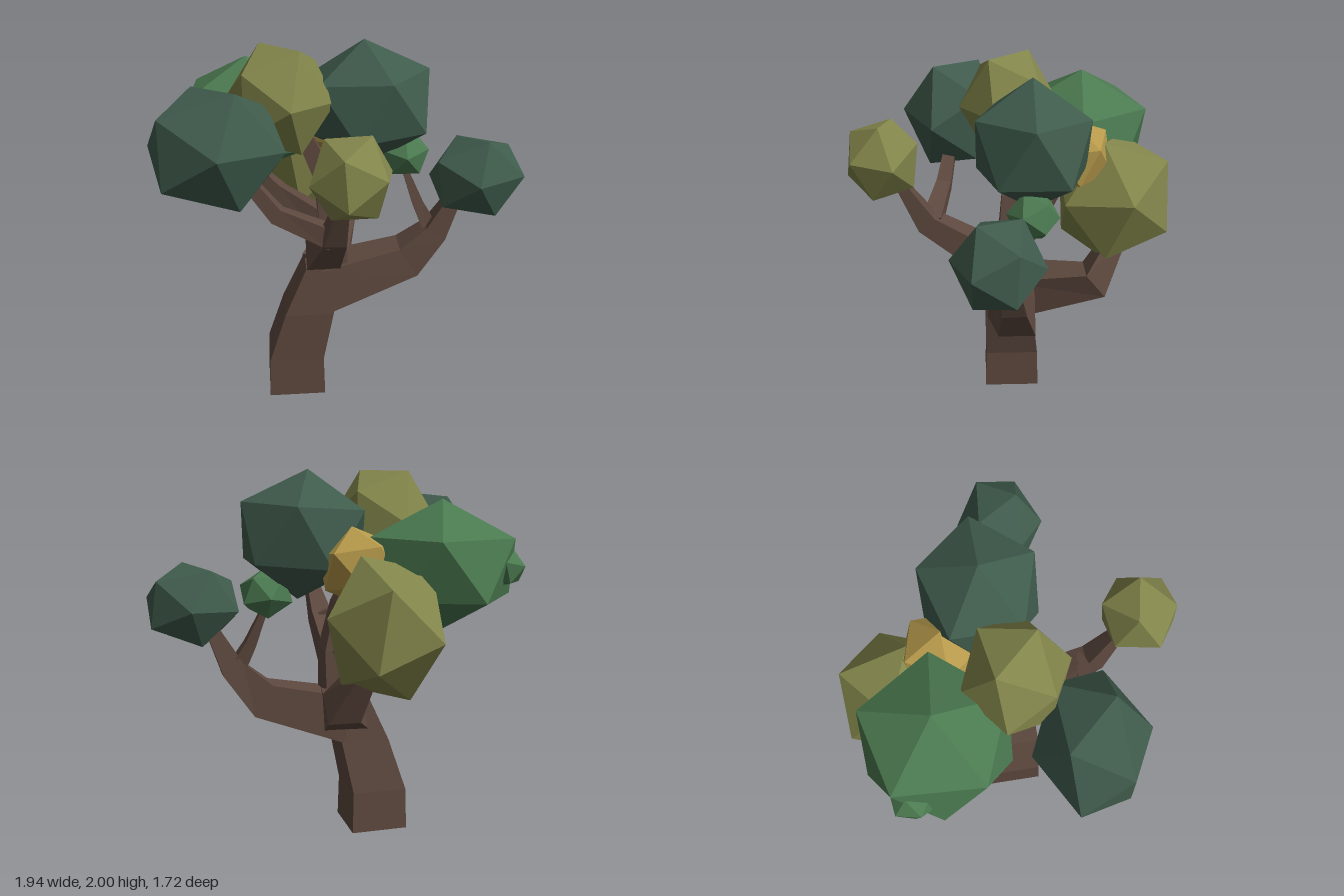
import * as THREE from 'three';

const mat = (name, color) => {
  const m = new THREE.MeshStandardMaterial({ color, flatShading: true });
  m.name = name;
  return m;
};
const vec = (a) => new THREE.Vector3(...a);
const X = [1, 0, 0], Y = [0, 1, 0], Z = [0, 0, 1];

// Square-section limb along a path, narrowing from r0 to r1.
// side orients the square; cut, if given, fixes the direction of every section.
function limbGeometry(path, r0, r1, { side = Z, cut, ease = 1 } = {}) {
  const c = path.map(vec), last = c.length - 1;
  const rings = c.map((p, i) => {
    const t = new THREE.Vector3();
    if (cut) t.copy(vec(cut));
    else {
      if (i > 0) t.add(p.clone().sub(c[i - 1]).normalize());
      if (i < last) t.add(c[i + 1].clone().sub(p).normalize());
      t.normalize();
    }
    const s = vec(side).projectOnPlane(t).normalize();
    const n = t.clone().cross(s);
    const r = THREE.MathUtils.lerp(r0, r1, (i / last) ** ease);
    return [[1, 1], [-1, 1], [-1, -1], [1, -1]].map(([u, v]) =>
      p.clone().addScaledVector(s, u * r).addScaledVector(n, v * r));
  });
  const pts = [];
  const quad = (a, b, d, e) => pts.push(a, b, d, a, d, e);
  for (let i = 0; i < last; i++) {
    const a = rings[i], b = rings[i + 1];
    for (let k = 0; k < 4; k++) quad(a[k], a[(k + 1) % 4], b[(k + 1) % 4], b[k]);
  }
  quad(...rings[0].slice().reverse());
  quad(...rings[last]);
  const g = new THREE.BufferGeometry().setFromPoints(pts);
  g.computeVertexNormals();
  return g;
}

// Frame built from one corner direction and a second direction beside it
function frame(corner, beside) {
  const x = corner.clone().normalize();
  const z = x.clone().cross(beside).normalize();
  return new THREE.Matrix4().makeBasis(x, z.clone().cross(x), z);
}

// Icosahedron with one corner turned to a direction and the next one turned
// towards a second direction, sized to the given half extents
function clumpGeometry(half, corner, towards) {
  const g = new THREE.IcosahedronGeometry(1, 0);
  const v0 = new THREE.Vector3().fromBufferAttribute(g.attributes.position, 0);
  const v1 = new THREE.Vector3().fromBufferAttribute(g.attributes.position, 1);
  g.applyMatrix4(frame(vec(corner), vec(towards)).multiply(frame(v0, v1).transpose()));
  g.center();
  const ext = g.boundingBox.max.clone().sub(g.boundingBox.min).multiplyScalar(0.5);
  g.scale(half[0] / ext.x, half[1] / ext.y, half[2] / ext.z);
  g.computeVertexNormals();
  return g;
}

export function createModel() {
  const tree = new THREE.Group();
  tree.name = 'tree';
  const bark = mat('bark brown', 0x5e493f);
  const dark = mat('dark green', 0x3f5b4c);
  const green = mat('leaf green', 0x4b7a50);
  const olive = mat('olive green', 0x83864b);
  const gold = mat('golden yellow', 0xb5984a);

  const add = (name, geometry, material) => {
    const mesh = new THREE.Mesh(geometry, material);
    mesh.name = name;
    tree.add(mesh);
    return mesh;
  };
  const limb = (name, path, r0, r1, options) => add(name, limbGeometry(path, r0, r1, options), bark);
  const clump = (name, material, centre, half, corner, towards) =>
    add(name, clumpGeometry(half, corner, towards), material).position.set(...centre);

  // Trunk, with level sections
  limb('trunk', [[-0.247, 0, -0.01], [-0.247, 0.23, -0.01], [-0.172, 0.52, 0.01], [-0.08, 0.79, 0.01]],
    0.158, 0.105, { cut: Y, ease: 2 });

  // Branches
  limb('sideBranch', [[-0.075, 0.65, 0], [0.39, 0.785, -0.02], [0.54, 0.95, 0], [0.66, 1.2, 0.02]], 0.13, 0.03);
  limb('sideTwig', [[0.53, 0.93, 0], [0.45, 1.09, -0.04], [0.37, 1.3, -0.09]], 0.045, 0.015);
  limb('frontBranch', [[-0.09, 0.855, 0.055], [-0.06, 1.14, 0.46], [-0.02, 1.42, 0.61]], 0.092, 0.023, { side: X });
  limb('frontTwig', [[-0.06, 1.12, 0.43], [-0.34, 1.23, 0.37], [-0.52, 1.45, 0.32]], 0.052, 0.03);
  limb('backBranch', [[-0.08, 0.69, -0.02], [0.06, 0.82, -0.46], [-0.04, 1.07, -0.6]], 0.125, 0.045, { side: X });
  limb('backSideBranch', [[-0.04, 0.98, -0.02], [-0.32, 1.12, -0.2], [-0.48, 1.25, -0.34]], 0.07, 0.035);
  limb('centreBranch', [[-0.06, 0.7, 0], [-0.03, 1.03, -0.01], [-0.07, 1.28, -0.01], [-0.21, 1.58, 0]], 0.1, 0.035);

  // Leaf clumps
  clump('frontSideLeaves', dark, [-0.63, 1.565, 0.31], [0.34, 0.3, 0.29], [0.05, 0.08, 1], X);
  clump('frontLeaves', olive, [0, 1.525, 0.67], [0.2, 0.205, 0.19], [0.5, 1, 0], [-0.7, 0, 1]);
  clump('topLeaves', olive, [-0.3, 1.72, 0], [0.28, 0.27, 0.27], [0.15, 0, 1], X);
  clump('crownLeaves', dark, [0.175, 1.665, -0.105], [0.32, 0.335, 0.285], [-0.08, 1, 0], X);
  clump('sideLeaves', dark, [0.735, 1.295, 0.08], [0.23, 0.215, 0.23], [-0.1, 0.05, 1], [0.2, 1, 0]);
  clump('sideTwigLeaves', green, [0.37, 1.365, -0.1], [0.128, 0.125, 0.135], [0, 0.1, 1], Y);
  clump('backSideLeaves', green, [-0.475, 1.52, -0.41], [0.375, 0.335, 0.36], [0, 1, 0], [0.36, 0, -0.93]);
  clump('backSideSprig', green, [-0.755, 1.52, -0.555], [0.1, 0.1, 0.105], [-0.6, 0.1, -0.7], Y);
  clump('backLeaves', olive, [-0.13, 1.24, -0.57], [0.315, 0.35, 0.29], [1, 0.2, -0.2], [0, 0.92, 0.3]);
  clump('innerLeaves', gold, [-0.06, 1.52, -0.335], [0.18, 0.2, 0.2], [-0.35, 0.7, -1], X);
  return tree;
}
